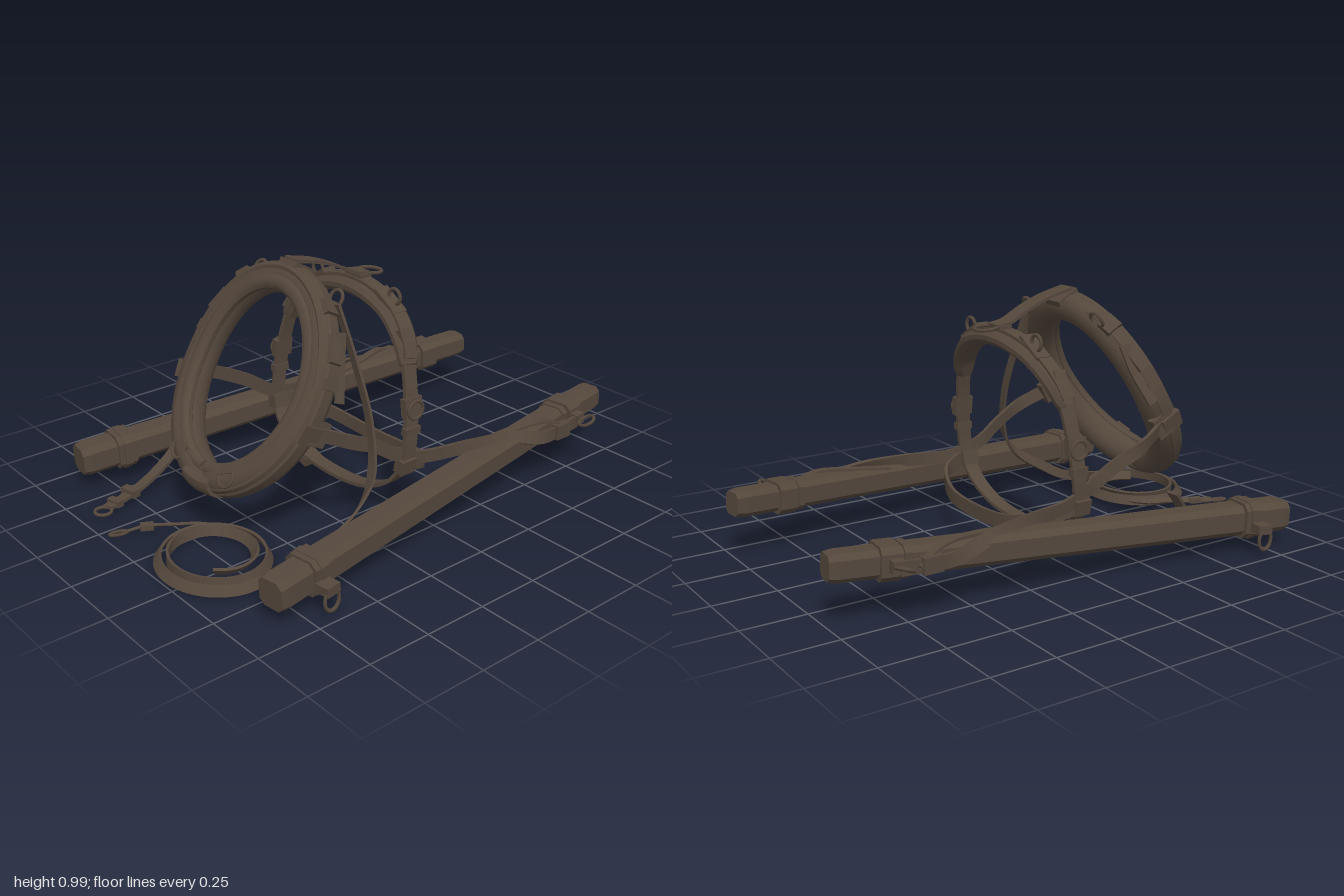
import * as THREE from 'three';
import { toCreasedNormals } from 'three/addons/utils/BufferGeometryUtils.js';

const V = (x, y, z) => new THREE.Vector3(x, y, z);
const leather = new THREE.MeshStandardMaterial({ color: 0x54473c });
leather.name = 'dark brown leather';

const ellipse = (w, h, n = 12) => Array.from({ length: n }, (_, i) => {
  const a = (i / n) * Math.PI * 2;
  return [Math.cos(a) * w / 2, Math.sin(a) * h / 2];
});
const rect = (w, h) => [[w / 2, -h / 2], [w / 2, h / 2], [-w / 2, h / 2], [-w / 2, -h / 2]];
const octagon = (w, h, c = 0.25) => {
  const x = w / 2, y = h / 2, k = Math.min(w, h) * c;
  return [[x, k - y], [x, y - k], [x - k, y], [k - x, y], [-x, y - k], [-x, k - y], [k - x, -y], [x - k, -y]];
};

// Sweeps a cross-section along a path; side(t) is the direction of its width.
function sweep(points, section, side, n = 32) {
  const curve = new THREE.CatmullRomCurve3(points, false, 'centripetal');
  const pos = [], index = [];
  let m = 0;
  for (let i = 0; i <= n; i++) {
    const t = i / n, p = curve.getPointAt(t), T = curve.getTangentAt(t);
    const U = side(t).clone().addScaledVector(T, -side(t).dot(T)).normalize();
    const W = T.clone().cross(U), s = section(t);
    m = s.length;
    s.forEach(([u, v]) => pos.push(...p.clone().addScaledVector(U, u).addScaledVector(W, v).toArray()));
  }
  for (let i = 0; i < n; i++) for (let j = 0; j < m; j++) {
    const a = i * m + j, b = i * m + (j + 1) % m;
    index.push(a, b, b + m, a, b + m, a + m);
  }
  for (let j = 1; j < m - 1; j++) index.push(0, j + 1, j, n * m, n * m + j, n * m + j + 1);
  const g = new THREE.BufferGeometry();
  g.setAttribute('position', new THREE.Float32BufferAttribute(pos, 3));
  g.setIndex(index);
  return toCreasedNormals(g, 0.6);
}

// Collar plane: tilted back; the lower part swells forward a little.
const UP = V(0, 0.876, -0.482), NORMAL = V(0, 0.482, 0.876), CENTRE = V(0, 0.567, 0.458);
const collarAt = (a, r = 0, d = 0) => CENTRE.clone()
  .add(V(Math.cos(a) * (0.33 + r), 0, 0))
  .addScaledVector(UP, Math.sin(a) * (0.39 + r))
  .addScaledVector(NORMAL, d + 0.02 * Math.max(0, -Math.sin(a)) - 0.012 * Math.cos(a) ** 2);
const radialAt = a => V(Math.cos(a), 0, 0).addScaledVector(UP, Math.sin(a));

export function createModel() {
  const model = new THREE.Group();
  model.name = 'harness';
  const add = (name, geometry, position) => {
    const mesh = new THREE.Mesh(geometry, leather);
    mesh.name = name;
    if (position) mesh.position.copy(position);
    model.add(mesh);
    return mesh;
  };
  // Strap: pts as triples, one width direction for each point.
  const strap = (name, pts, sides, w = 0.05, th = 0.012, n = 40) => {
    const p = pts.map(q => V(...q));
    const dirs = sides.length > 1 ? new THREE.CatmullRomCurve3(sides.map(q => V(...q))) : null;
    const one = V(...sides[0]);
    return add(name, sweep(p, () => rect(w, th), t => dirs ? dirs.getPoint(t) : one, n));
  };
  const ring = (name, p, r, rot = [0, 0, 0], tube = 0.007) => {
    const m = add(name, new THREE.TorusGeometry(r, tube, 6, 18), V(...p));
    m.rotation.set(...rot);
    return m;
  };
  const box = (name, p, size, rot = [0, 0, 0]) => {
    const m = add(name, new THREE.BoxGeometry(...size), V(...p));
    m.rotation.set(...rot);
    return m;
  };
  const onCollar = (mesh, a) => {
    const r = radialAt(a);
    mesh.setRotationFromMatrix(new THREE.Matrix4().makeBasis(r, NORMAL.clone().cross(r), NORMAL));
    return mesh;
  };
  const normal = () => NORMAL;
  const arc = (a, b, r, d, n = 24) => Array.from({ length: n + 1 }, (_, i) => collarAt(a + (b - a) * i / n, r, d));

  // Collar: padded body, front roll and outer roll, open at the bottom
  const start = -Math.PI / 2 + 0.03, end = Math.PI * 1.5 - 0.03;
  const low = t => (1 + Math.cos(2 * Math.PI * t)) / 2;
  const tip = t => 0.75 + 0.25 * Math.min(1, Math.min(t, 1 - t) / 0.03);
  add('collarBody', sweep(arc(start, end, 0, -0.005),
    t => ellipse((0.108 + 0.035 * low(t)) * tip(t), 0.118 * tip(t), 14), normal, 80));
  add('collarRoll', sweep(arc(start, end, -0.028, 0.035), t => ellipse(0.052 * tip(t), 0.06 * tip(t), 10), normal, 80));
  add('collarOuterRoll', sweep(arc(start, end, 0.03, 0.025), t => ellipse(0.052 * tip(t), 0.045 * tip(t), 8), normal, 80));
  onCollar(add('collarTopPlate', new THREE.BoxGeometry(0.025, 0.095, 0.1), collarAt(Math.PI / 2, 0.049, -0.005)), Math.PI / 2);
  add('collarBottomClasp', sweep(arc(-1.79, -1.35, 0.024, 0.005, 6), () => ellipse(0.125, 0.085, 12), normal, 8));

  for (const s of [1, -1]) {
    const ang = a => s > 0 ? a : Math.PI - a;
    // Curved rail on the outside of the collar with its buckles
    add('collarRail', sweep(arc(ang(-1.3), ang(1.13), 0.048, 0, 14), () => octagon(0.052, 0.024), normal, 40));
    for (const [a, len, w] of [[-0.2, 0.07, 0.09], [0.22, 0.04, 0.06], [0.5, 0.1, 0.055], [0.88, 0.06, 0.07]]) {
      onCollar(add('collarBuckle', new THREE.BoxGeometry(0.024, len, w), collarAt(ang(a), 0.057, 0)), ang(a));
    }
    const upper = ang(0.98), lower = ang(-1.1);
    onCollar(add('collarRing', new THREE.TorusGeometry(0.032, 0.007, 6, 16), collarAt(upper, 0.072, -0.03)), upper);
    onCollar(add('collarFrontRing', new THREE.TorusGeometry(0.038, 0.007, 6, 16), collarAt(lower, 0, 0.062)), lower);
    onCollar(add('collarFrontTab', new THREE.BoxGeometry(0.03, 0.07, 0.012), collarAt(lower, -0.025, 0.063)), lower);
    strap('collarStrapEnd', [[s * 0.32, 0.8, 0.3], [s * 0.35, 0.7, 0.33], [s * 0.405, 0.58, 0.38]], [[0, 0.4, 1]], 0.04, 0.01, 10);

    // Shaft with slightly bevelled ends
    const from = V(s * 0.63, 0.118, 0.86), to = V(s * 0.395, 0.218, -1);
    add('shaft', sweep([from, from.clone().lerp(to, 0.5), to], t => {
      const k = t < 0.01 || t > 0.99 ? 0.9 : 1;
      return octagon((0.12 - 0.018 * t) * k, (0.12 - 0.02 * t) * k, 0.19);
    }, () => V(1, 0, 0), 60));
    const yaw = s * 0.126, pitch = 0.054;
    const band = (name, z, w, h, d) => {
      const p = from.clone().lerp(to, (0.86 - z) / 1.86);
      const dir = from.clone().sub(to).normalize();
      const a = p.clone().addScaledVector(dir, d / 2), b = p.clone().addScaledVector(dir, -d / 2);
      add(name, sweep([a, b], () => octagon(w, h, 0.18), () => V(1, 0, 0), 2));
    };
    band('frontBand', 0.68, 0.143, 0.137, 0.075);
    band('frontBandEdge', 0.68, 0.152, 0.143, 0.03);
    box('frontBandLug', [s * 0.705, 0.11, 0.68], [0.06, 0.035, 0.06], [pitch, yaw, 0]);
    ring('frontBandRing', [s * 0.727, 0.072, 0.68], 0.034, [0, Math.PI / 2, 0]).scale.set(0.9, 1.2, 1);
    band('rearBand', -0.79, 0.135, 0.122, 0.075);
    band('rearBandEdge', -0.73, 0.118, 0.115, 0.025);
    box('rearBandLug', [s * 0.505, 0.21, -0.79], [0.04, 0.045, 0.045], [pitch, yaw, 0]);
    ring('rearBandRing', [s * 0.555, 0.215, -0.79], 0.032, [Math.PI / 2 + 0.4, s * 0.25, 0]);

    // Trace from the collar to the rear of the shaft
    strap('trace', [[s * 0.375, 0.475, 0.45], [s * 0.41, 0.415, 0.32], [s * 0.395, 0.355, 0.2], [s * 0.385, 0.29, 0.1], [s * 0.405, 0.248, -0.02],
      [s * 0.455, 0.245, -0.22], [s * 0.5, 0.235, -0.42], [s * 0.525, 0.2, -0.57], [s * 0.51, 0.2, -0.78]],
    [[0, 1, 0.4], [0, 1, 0.4], [0, 1, 0.4], [0, 1, 0.3], [0, 1, 0], [s * -0.3, 1, 0], [s * -0.6, 1, 0], [0, 1, 0], [0, 1, 0]], 0.052, 0.014, 60);
    box('traceBuckle', [s * 0.525, 0.2, -0.67], [0.035, 0.06, 0.075]);
    box('traceKeeper', [s * 0.37, 0.475, 0.45], [0.035, 0.09, 0.07], [-0.5, 0, 0]);
    // Tie across the shaft
    strap('shaftTie', [[s * 0.52, 0.2, -0.72], [s * 0.495, 0.25, -0.6], [s * 0.46, 0.245, -0.45], [s * 0.44, 0.23, -0.3]], [[1, 0, 0]], 0.035, 0.01);

    // Lower saddle strap, its buckles and rings
    strap('saddleSideStrap', [[s * 0.345, 0.64, 0.005], [s * 0.38, 0.5, 0.02], [s * 0.4, 0.35, 0.035], [s * 0.395, 0.21, 0.05]], [[0, 0, 1]], 0.058, 0.016);
    box('saddleBuckle', [s * 0.392, 0.46, 0.025], [0.03, 0.075, 0.08], [0, 0, s * 0.12]);
    box('saddleKeeper', [s * 0.4, 0.37, 0.033], [0.03, 0.03, 0.07]);
    ring('saddleSideRing', [s * 0.415, 0.455, 0.025], 0.035, [0, Math.PI / 2, 0]);
    box('girthBuckle', [s * 0.39, 0.23, 0.05], [0.045, 0.06, 0.07], [0, 0, s * -0.2]);
    box('saddlePlate', [s * 0.205, 0.808, -0.03], [0.13, 0.02, 0.06], [0, 0, s * -0.55]);
    ring('saddleRing', [s * 0.225, 0.83, -0.035], 0.03, [0, 0, s * -0.5]);
    box('saddleTab', [s * 0.33, 0.69, 0], [0.03, 0.1, 0.05], [0, 0, s * 0.45]);
  }

  // Saddle pad arched over the back
  const arch = [[-0.352, 0.61], [-0.315, 0.68], [-0.22, 0.765], [-0.1, 0.807], [0, 0.817], [0.1, 0.807], [0.22, 0.765], [0.315, 0.68], [0.352, 0.61]];
  const archAt = lift => arch.map(([x, y]) => V(x * (1 + lift), y + lift * 0.9, -0.043 + (0.817 - y) * 0.26));
  add('saddlePad', sweep(archAt(0), t => octagon(0.07 + 0.05 * Math.sqrt(Math.sin(Math.PI * t)), 0.053, 0.33), () => V(0, 0, 1), 40));
  add('saddleBand', sweep(archAt(0.032), () => rect(0.055, 0.02), () => V(0, 0, 1), 40));
  ring('saddleTopRing', [0, 0.86, -0.11], 0.045, [Math.PI / 2 - 0.1, 0, 0]);
  box('saddleTopBuckle', [0, 0.858, -0.05], [0.09, 0.02, 0.055]);

  // Strap from the collar top to the saddle
  strap('topStrap', [[0, 0.982, 0.27], [0, 0.955, 0.16], [0, 0.92, 0.07], [0, 0.875, -0.02], [0, 0.865, -0.08]], [[1, 0, 0]], 0.075, 0.012);

  // Girth beneath and the wide strap behind it
  strap('girth', [[-0.39, 0.22, 0.05], [-0.33, 0.145, 0.06], [-0.2, 0.08, 0.07], [0, 0.06, 0.075], [0.2, 0.08, 0.07], [0.33, 0.145, 0.06], [0.39, 0.22, 0.05]],
    [[0, 0, 1]], 0.06, 0.014);
  box('girthLowerBuckle', [-0.18, 0.055, 0.065], [0.08, 0.035, 0.08], [0, 0, -0.3]);
  strap('girthTail', [[-0.14, 0.06, 0.065], [-0.19, 0.035, 0.065], [-0.24, 0.015, 0.06]], [[0, 0, 1]], 0.05, 0.01, 8);
  strap('rearBellyStrap', [[-0.4, 0.235, 0.03], [-0.36, 0.2, -0.07], [-0.22, 0.155, -0.14], [0, 0.138, -0.155], [0.22, 0.155, -0.14], [0.36, 0.2, -0.07], [0.4, 0.235, 0.03]],
    [[0, 1, 0]], 0.056, 0.014);

  // Long rein, from the collar down into a tightening coil on the ground
  const pts = [[0.26, 0.88, 0.27], [0.33, 0.69, 0.25], [0.41, 0.47, 0.245], [0.46, 0.28, 0.28], [0.475, 0.18, 0.36], [0.475, 0.1, 0.49], [0.46, 0.04, 0.61]];
  const sides = pts.map(() => [1, 0, 0.15]);
  for (let i = 0; i <= 32; i++) {
    const a = -0.15 + i * 0.42, r = 0.238 - i * 0.0026 - 0.03 * Math.max(0, (i - 24) / 8);
    pts.push([0.19 + Math.cos(a) * r, 0.022 + i * 0.0005, 0.775 + Math.sin(a) * r * 0.9]);
    sides.push([Math.cos(a), 1.1, Math.sin(a)]);
  }
  strap('longRein', pts, sides, 0.042, 0.01, 240);
  strap('reinEnd', [[0.08, 0.03, 0.62], [-0.03, 0.03, 0.69], [-0.08, 0.035, 0.77], [-0.14, 0.035, 0.86], [-0.16, 0.03, 0.93]], [[0.8, 0.6, 0.3]], 0.025, 0.01);
  ring('reinClip', [-0.17, 0.028, 0.96], 0.022, [Math.PI / 2, 0, 0.3]).scale.set(0.6, 1.4, 1);
  box('reinClipBuckle', [-0.135, 0.035, 0.86], [0.035, 0.02, 0.05], [0, -0.5, 0]);

  // Short rein lying against the right shaft
  strap('shortRein', [[-0.495, 0.245, 0.41], [-0.485, 0.2, 0.45], [-0.465, 0.12, 0.52], [-0.435, 0.06, 0.64], [-0.4, 0.035, 0.76], [-0.37, 0.025, 0.89]], [[1, 0.1, -0.25]], 0.048, 0.012);
  box('shortReinBuckle', [-0.4, 0.04, 0.77], [0.07, 0.03, 0.035], [0, 0.25, 0]);
  box('shortReinKeeper', [-0.38, 0.03, 0.85], [0.06, 0.025, 0.03], [0, 0.25, 0]);
  ring('shortReinRing', [-0.36, 0.022, 0.915], 0.032, [Math.PI / 2, 0, 0]);

  return model;
}
